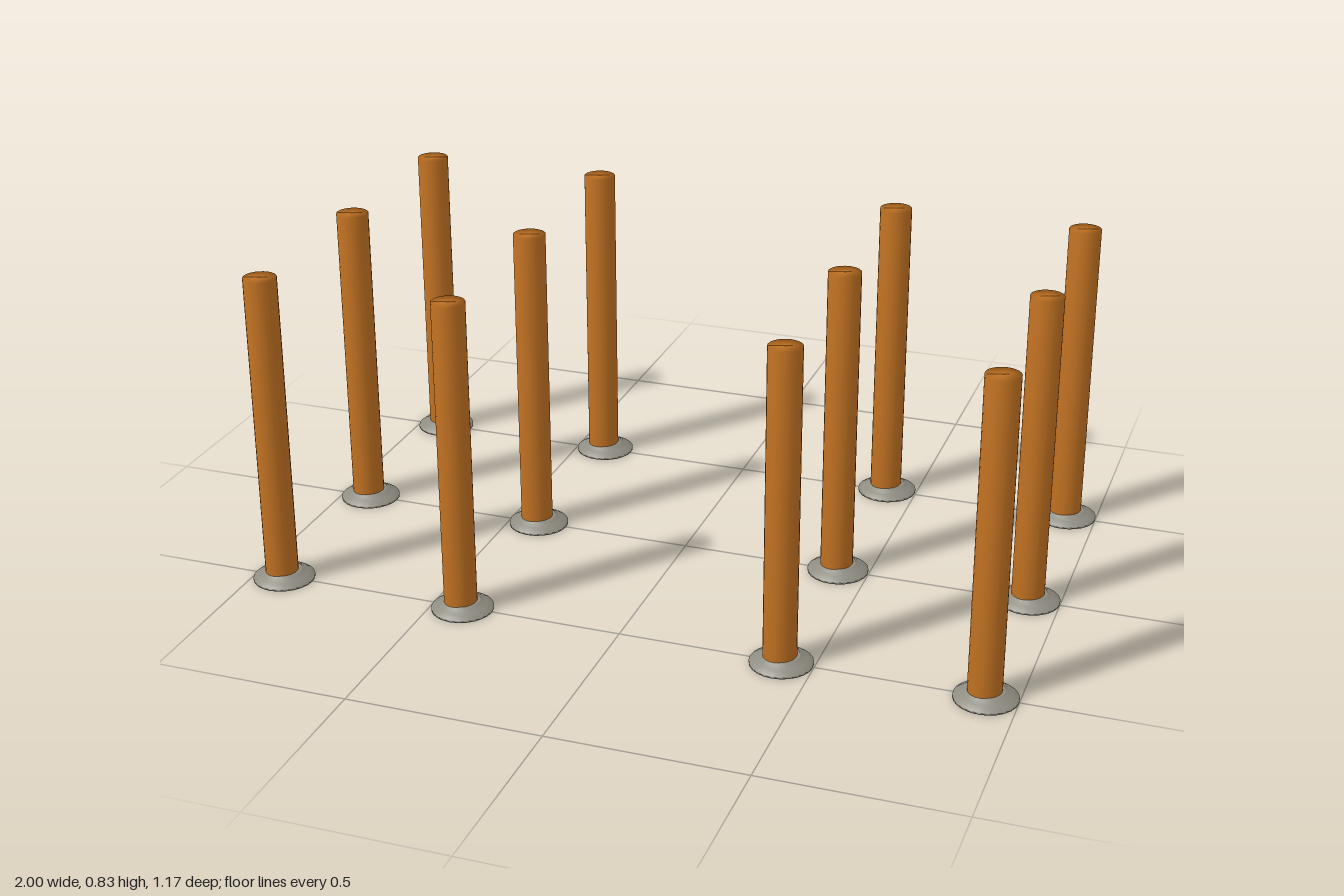
import * as THREE from 'three';

const wood = new THREE.MeshStandardMaterial({ color: 0xc27222 });
wood.name = 'orange brown wood';
const stone = new THREE.MeshStandardMaterial({ color: 0x8f8d82 });
stone.name = 'warm grey stone';

// Closed, softly shaded solid of revolution from [radius, height] pairs
const turned = (profile, sides) =>
  new THREE.LatheGeometry(profile.map(([r, y]) => new THREE.Vector2(r, y)), sides);

export function createModel() {
  const model = new THREE.Group();
  model.name = 'columnGrid';

  const shaftGeometry = turned([[0, 0.004], [0.042, 0.004], [0.042, 0.828], [0, 0.828]], 24);
  const footGeometry = turned(
    [[0, 0], [0.079, 0], [0.079, 0.006], [0.062, 0.014], [0.047, 0.023], [0.045, 0.026], [0, 0.026]], 24);

  // Two double rows either side of a wide aisle, three columns deep
  for (const x of [-0.921, -0.419, 0.419, 0.921]) {
    for (const z of [-0.504, 0, 0.504]) {
      const column = new THREE.Group();
      column.name = 'column';
      column.position.set(x, 0, z);

      const shaft = new THREE.Mesh(shaftGeometry, wood);
      shaft.name = 'shaft';
      shaft.position.set(-0.003, 0, 0.004);

      const foot = new THREE.Mesh(footGeometry, stone);
      foot.name = 'foot';

      column.add(shaft, foot);
      model.add(column);
    }
  }
  return model;
}
